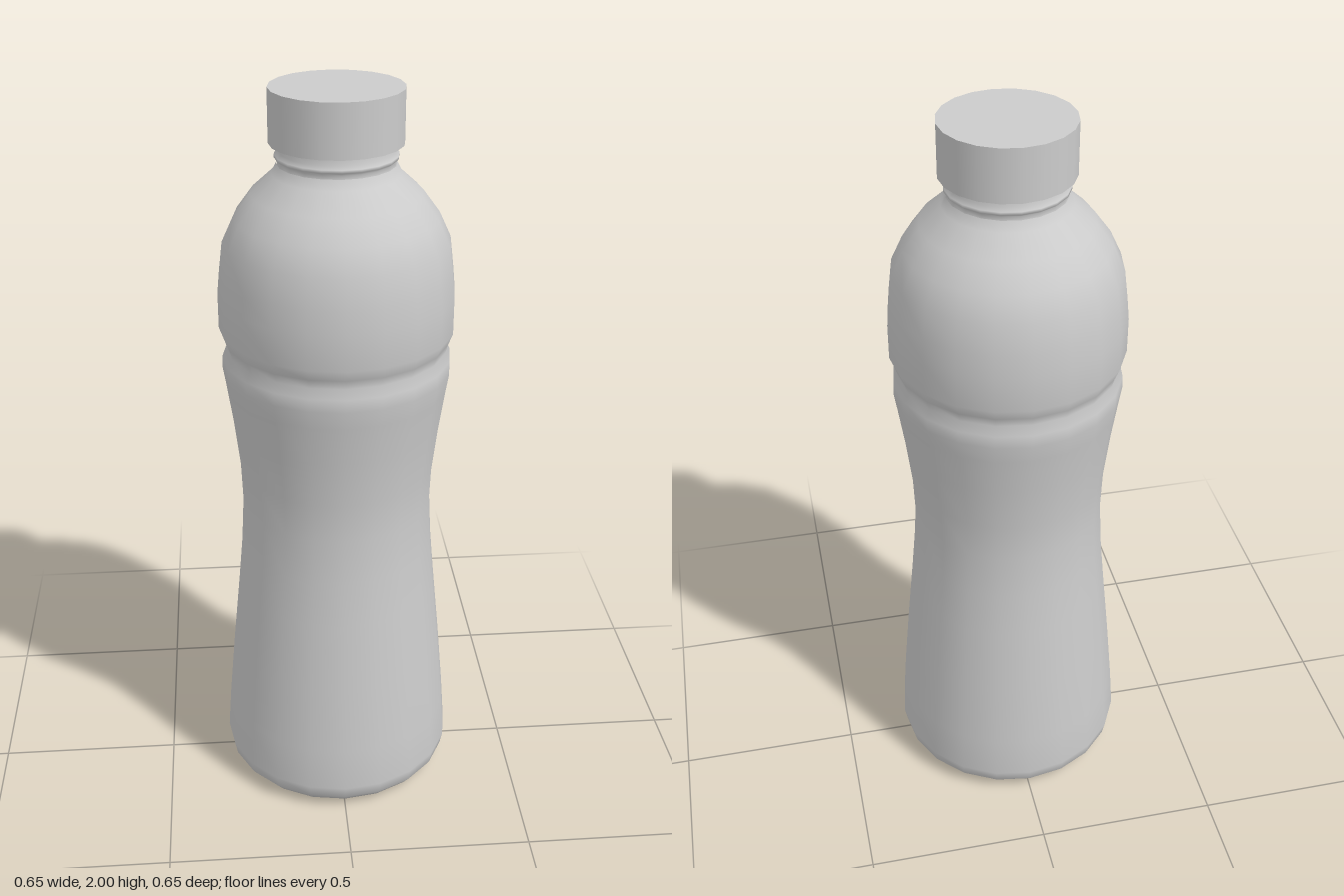
import * as THREE from 'three';

const SIDES = 20;
const material = new THREE.MeshStandardMaterial({ color: 0xcccccc });

function addPart(group, name, geometry, y = 0) {
  const mesh = new THREE.Mesh(geometry, material);
  mesh.name = name;
  mesh.position.y = y;
  group.add(mesh);
  return mesh;
}

const lathe = (profile) =>
  new THREE.LatheGeometry(profile.map(([r, y]) => new THREE.Vector2(r, y)), SIDES);

export function createModel() {
  const bottle = new THREE.Group();
  bottle.name = 'bottle';

  // Body: rounded foot, pinched waist, groove, grip band and domed shoulder
  addPart(bottle, 'body', lathe([
    [0.265, 0], [0.3, 0.016], [0.32, 0.04], [0.327, 0.075],
    [0.318, 0.2], [0.3, 0.4], [0.28, 0.6], [0.268, 0.73], [0.261, 0.86],
    [0.265, 0.97], [0.28, 1.1], [0.296, 1.21], [0.304, 1.26], [0.303, 1.295],
    [0.291, 1.32], [0.298, 1.345], [0.31, 1.375], [0.31, 1.47],
    [0.304, 1.53], [0.294, 1.61], [0.264, 1.675], [0.22, 1.735],
    [0.165, 1.785], [0.152, 1.81],
  ]));

  // Flat underside
  addPart(bottle, 'base', new THREE.CylinderGeometry(0.265, 0.265, 0.002, SIDES), 0.001);

  // Neck with a small collar ring below the cap
  addPart(bottle, 'neck', lathe([
    [0.152, 1.805], [0.147, 1.818], [0.157, 1.826], [0.157, 1.834],
    [0.147, 1.842], [0.147, 1.87],
  ]));

  // Screw cap
  addPart(bottle, 'cap', new THREE.CylinderGeometry(0.171, 0.171, 0.138, SIDES), 1.931);

  return bottle;
}
